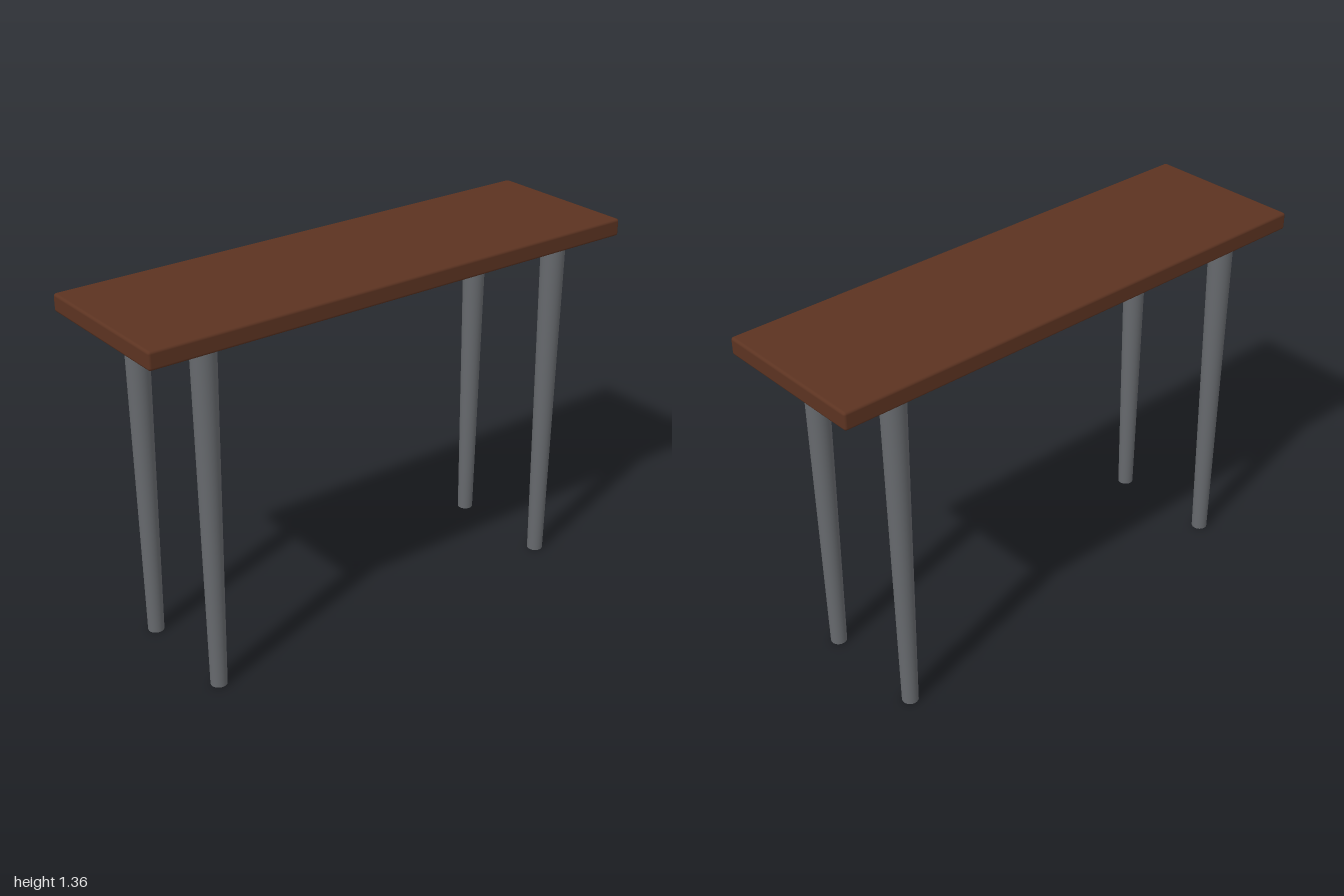
import * as THREE from 'three';
import { RoundedBoxGeometry } from 'three/addons/geometries/RoundedBoxGeometry.js';

export function createModel() {
  const model = new THREE.Group();
  model.name = 'table';

  const wood = new THREE.MeshStandardMaterial({ color: 0x5c3321 });
  wood.name = 'dark brown wood';
  const metal = new THREE.MeshStandardMaterial({ color: 0x66696d });
  metal.name = 'grey metal';

  const height = 1.355, thickness = 0.065;
  const legHeight = height - thickness;

  // Slab with softly eased edges
  const top = new THREE.Mesh(new RoundedBoxGeometry(2, thickness, 0.604, 2, 0.01), wood);
  top.name = 'tableTop';
  top.position.y = height - thickness / 2;
  model.add(top);

  // Four round legs, tapering towards the floor
  const legGeometry = new THREE.CylinderGeometry(0.045, 0.03, legHeight, 24);
  for (const [side, x] of [['Left', 0.755], ['Right', -0.755]]) {
    for (const [end, z] of [['front', 0.212], ['back', -0.212]]) {
      const leg = new THREE.Mesh(legGeometry, metal);
      leg.name = `${end}${side}Leg`;
      leg.position.set(x, legHeight / 2, z);
      model.add(leg);
    }
  }

  return model;
}
